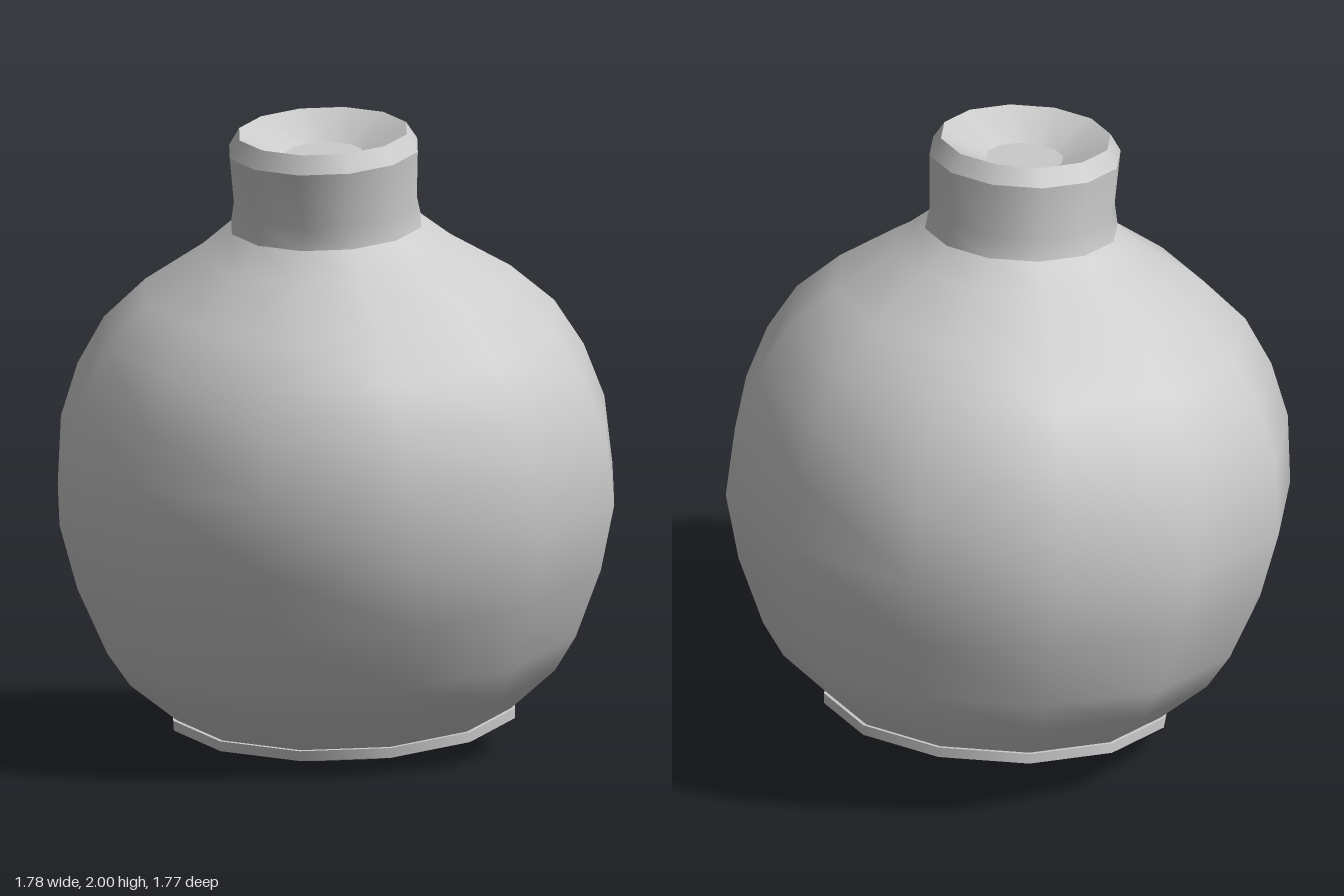
import * as THREE from 'three';

const SIDES = 12;
const TILT = THREE.MathUtils.degToRad(8);

export function createModel() {
  const model = new THREE.Group();
  model.name = 'flask';
  const material = new THREE.MeshStandardMaterial({ color: 0xcccccc });

  // The whole flask leans forward about its base
  const flask = new THREE.Group();
  flask.name = 'tiltedFlask';
  flask.rotation.x = TILT;
  flask.position.set(0, 0.05, -0.1125);
  model.add(flask);

  // Each part is a turned [radius, height] profile, listed bottom to top;
  // separate parts keep the edges between them sharp
  const turn = (name, profile) => {
    const points = profile.map(([r, y]) => new THREE.Vector2(r, y));
    const mesh = new THREE.Mesh(new THREE.LatheGeometry(points, SIDES), material);
    mesh.name = name;
    flask.add(mesh);
  };

  // Foot: flat underside, shallow cone, upright band and its top ledge
  turn('footUnderside', [[0, 0], [0.341, 0]]);
  turn('footCone', [[0.341, 0], [0.546, 0.06]]);
  turn('footBand', [[0.546, 0.06], [0.547, 0.092]]);
  turn('footLedge', [[0.547, 0.092], [0.535, 0.092]]);

  // Round body rising to the shoulder
  turn('body', [
    [0.535, 0.092], [0.68, 0.22], [0.75, 0.331], [0.838, 0.549],
    [0.888, 0.76], [0.87, 0.98], [0.81, 1.154], [0.721, 1.305],
    [0.585, 1.432], [0.394, 1.556], [0.303, 1.632],
  ]);

  // Slightly waisted neck with a bevelled lip
  turn('neck', [[0.303, 1.632], [0.291, 1.7], [0.301, 1.875]]);
  turn('lip', [[0.301, 1.875], [0.267, 1.93]]);

  // Shallow funnel and flat floor in the mouth
  turn('mouthFunnel', [[0.267, 1.93], [0.121, 1.86]]);
  turn('mouthFloor', [[0.121, 1.86], [0, 1.86]]);

  return model;
}
